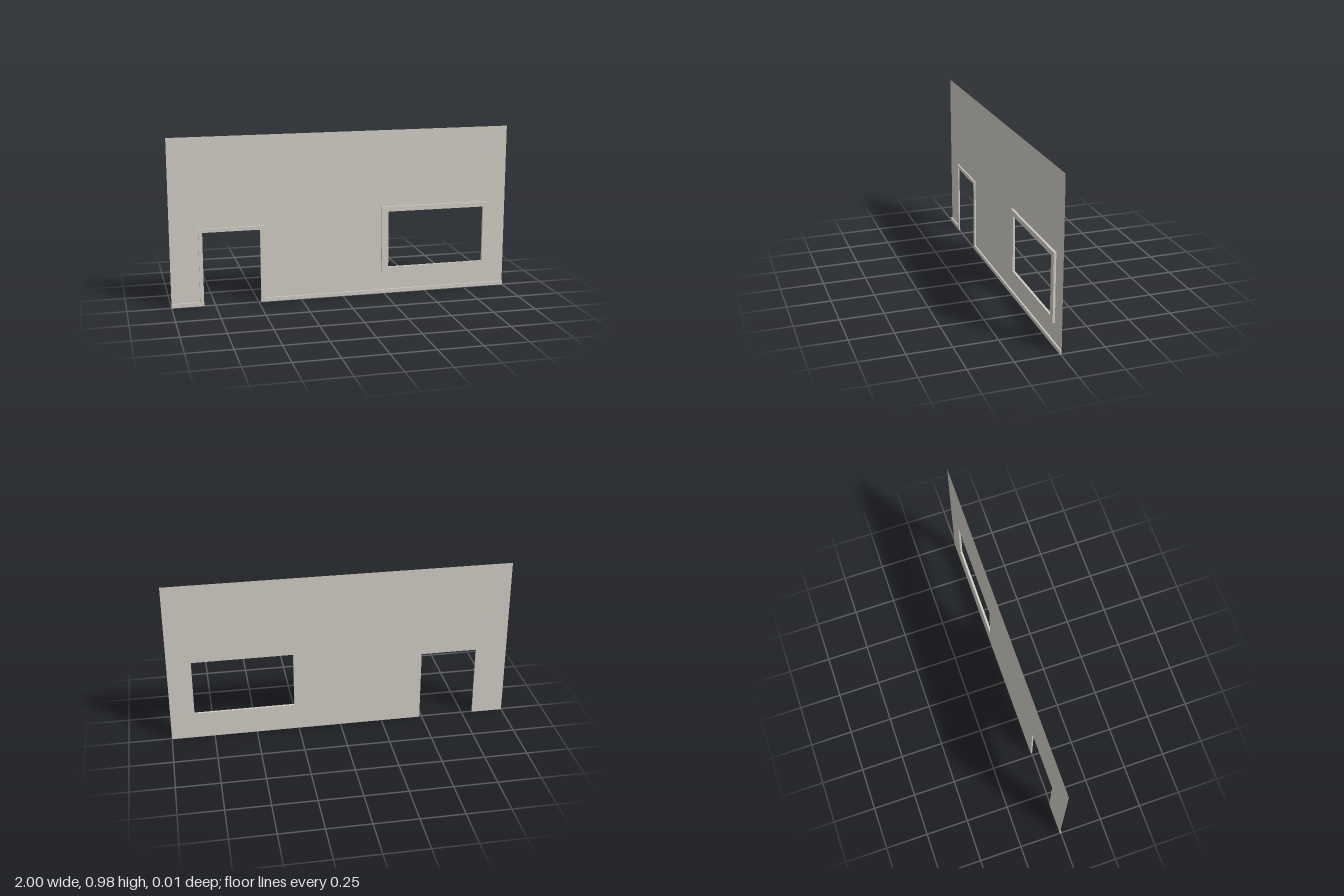
import * as THREE from 'three';

const BACK = -0.0065;
const DOOR = { l: -0.815, r: -0.485, top: 0.43 };
const WINDOW = [0.275, 0.16, 0.86, 0.495];
const TRIM = 0.022;

const polygon = (pts) => new THREE.Shape(pts.map(([x, y]) => new THREE.Vector2(x, y)));
const rect = (x0, y0, x1, y1) => polygon([[x0, y0], [x1, y0], [x1, y1], [x0, y1]]);

export function createModel() {
  const group = new THREE.Group();
  const plaster = new THREE.MeshStandardMaterial({ color: 0xd2cec5, side: THREE.DoubleSide });
  plaster.name = 'warm grey plaster';

  const add = (name, geometry) => {
    const mesh = new THREE.Mesh(geometry, plaster);
    mesh.name = name;
    mesh.position.z = BACK;
    group.add(mesh);
  };
  const slab = (shape, depth) => new THREE.ExtrudeGeometry(shape, { depth, bevelEnabled: false });

  // Thin wall sheet with a doorway notch and a window opening
  const wall = polygon([
    [-1, 0], [DOOR.l, 0], [DOOR.l, DOOR.top], [DOOR.r, DOOR.top], [DOOR.r, 0],
    [1, 0], [1, 0.975], [-1, 0.975],
  ]);
  wall.holes.push(rect(...WINDOW));
  add('wall', new THREE.ShapeGeometry(wall));

  // Skirting that runs along the floor and up around the doorway
  const skirting = polygon([
    [-1, 0], [DOOR.l, 0], [DOOR.l, DOOR.top], [DOOR.r, DOOR.top], [DOOR.r, 0],
    [1, 0], [1, TRIM], [DOOR.r + TRIM, TRIM], [DOOR.r + TRIM, DOOR.top + TRIM],
    [DOOR.l - TRIM, DOOR.top + TRIM], [DOOR.l - TRIM, TRIM], [-1, TRIM],
  ]);
  add('skirtingAndDoorTrim', slab(skirting, 0.009));

  // Raised window surround
  const frame = rect(0.235, 0.13, 0.9, 0.525);
  frame.holes.push(rect(...WINDOW));
  add('windowFrame', slab(frame, 0.013));

  return group;
}
